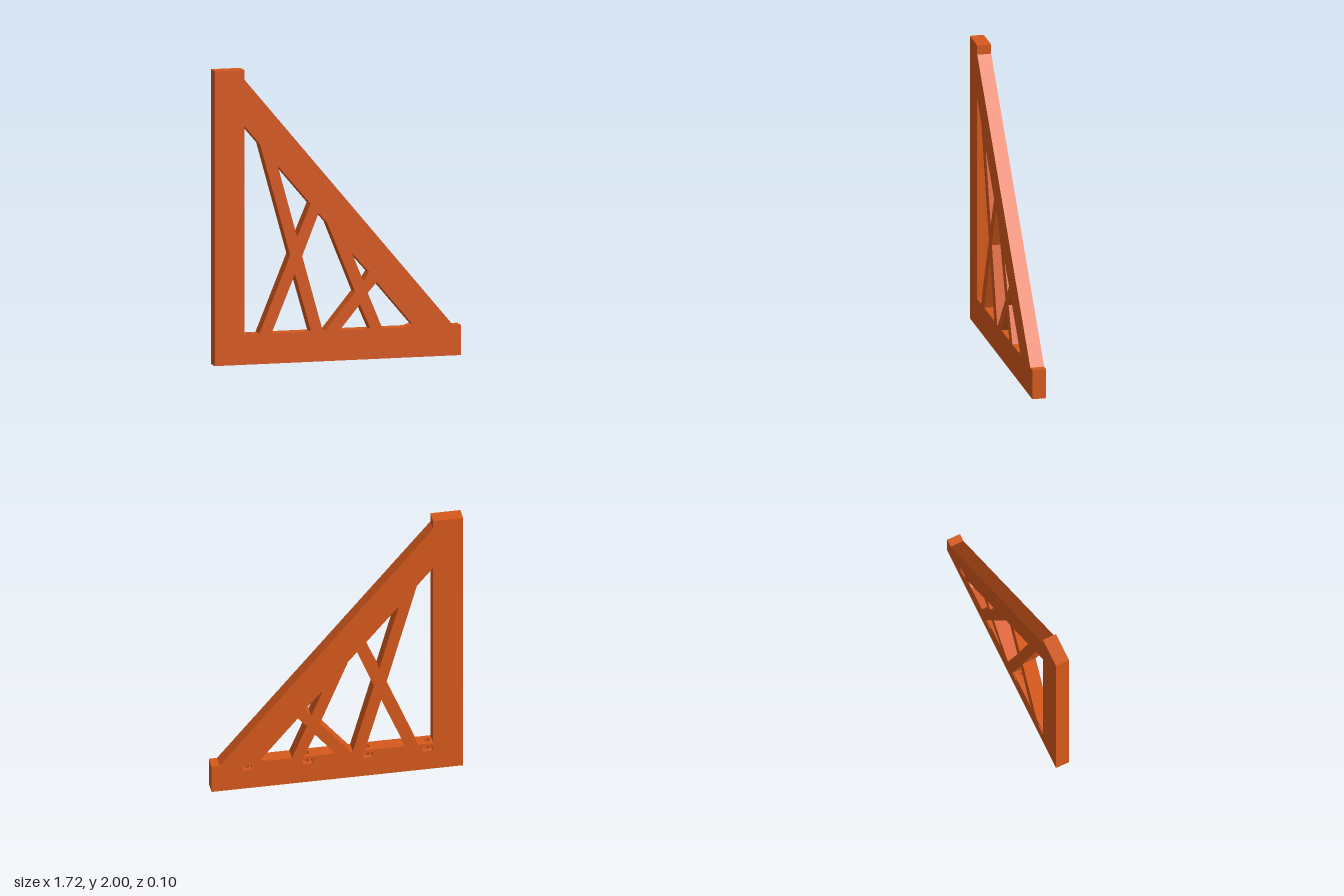
import * as THREE from 'three';

const HALF = 0.048;                       // half thickness of the plate
const LEFT = -0.86, RIGHT = 0.855;        // ends of the base rail
const RAIL = 0.205;                       // height of the base rail
const SLOT_LOW = 0.145, SLOT_HIGH = 0.185;
const BOLTS = [-0.62, -0.21, 0.2, 0.61];  // bolt positions along the rail

const points = (list) => list.map(([x, y]) => new THREE.Vector2(x, y));

export function createModel() {
  const group = new THREE.Group();
  group.name = 'shelfBracket';
  const material = new THREE.MeshStandardMaterial({ color: 0xd6591c });

  const add = (name, geometry) => {
    const mesh = new THREE.Mesh(geometry, material);
    mesh.name = name;
    group.add(mesh);
  };

  // Upright, sloping brace and crossed struts; the lower openings notch the bottom edge
  const frame = new THREE.Shape(points([
    [LEFT, RAIL], [-0.655, RAIL],
    [-0.655, 1.62], [-0.545, 1.49], [-0.335, 0.73], [-0.55, RAIL],
    [-0.465, RAIL], [-0.302, 0.6], [-0.19, RAIL],
    [-0.108, RAIL], [-0.252, 0.72], [-0.138, 1.005], [-0.078, 0.94], [0.117, 0.46], [-0.092, RAIL],
    [0.01, RAIL], [0.15, 0.375], [0.225, RAIL],
    [0.307, RAIL], [0.205, 0.45], [0.267, 0.52], [0.52, 0.22], [0.475, RAIL],
    [0.8, RAIL], [-0.655, 1.935], [-0.655, 2], [LEFT, 2],
  ]));
  // Closed triangles above the strut crossings
  frame.holes.push(
    new THREE.Path(points([[-0.422, 1.34], [-0.193, 1.07], [-0.287, 0.85]])),
    new THREE.Path(points([[0.095, 0.725], [0.215, 0.59], [0.175, 0.53]])),
  );
  const frameGeometry = new THREE.ExtrudeGeometry(frame, { depth: 2 * HALF, bevelEnabled: false });
  frameGeometry.translate(0, 0, -HALF);
  add('trussFrame', frameGeometry);

  // Base rail, stacked in layers so bolt holes can meet the nut slots
  const addLayer = (name, shape, low, high) => {
    const geometry = new THREE.ExtrudeGeometry(shape, {
      depth: high - low, bevelEnabled: false, curveSegments: 10,
    });
    geometry.rotateX(-Math.PI / 2);
    geometry.translate(0, low, 0);
    add(name, geometry);
  };

  const drilled = new THREE.Shape(points([
    [LEFT, -HALF], [RIGHT, -HALF], [RIGHT, HALF], [LEFT, HALF],
  ]));
  for (const x of BOLTS) {
    drilled.holes.push(new THREE.Path().absarc(x, 0, 0.02, 0, Math.PI * 2, true));
  }

  // Nut slots open only at the back
  const outline = [[LEFT, -HALF], [RIGHT, -HALF], [RIGHT, HALF]];
  for (const x of [...BOLTS].reverse()) {
    outline.push([x + 0.032, HALF], [x + 0.032, -0.03], [x - 0.032, -0.03], [x - 0.032, HALF]);
  }
  outline.push([LEFT, HALF]);

  addLayer('railBase', drilled, 0, SLOT_LOW);
  addLayer('railNutSlots', new THREE.Shape(points(outline)), SLOT_LOW, SLOT_HIGH);
  addLayer('railTop', drilled, SLOT_HIGH, RAIL);

  return group;
}
